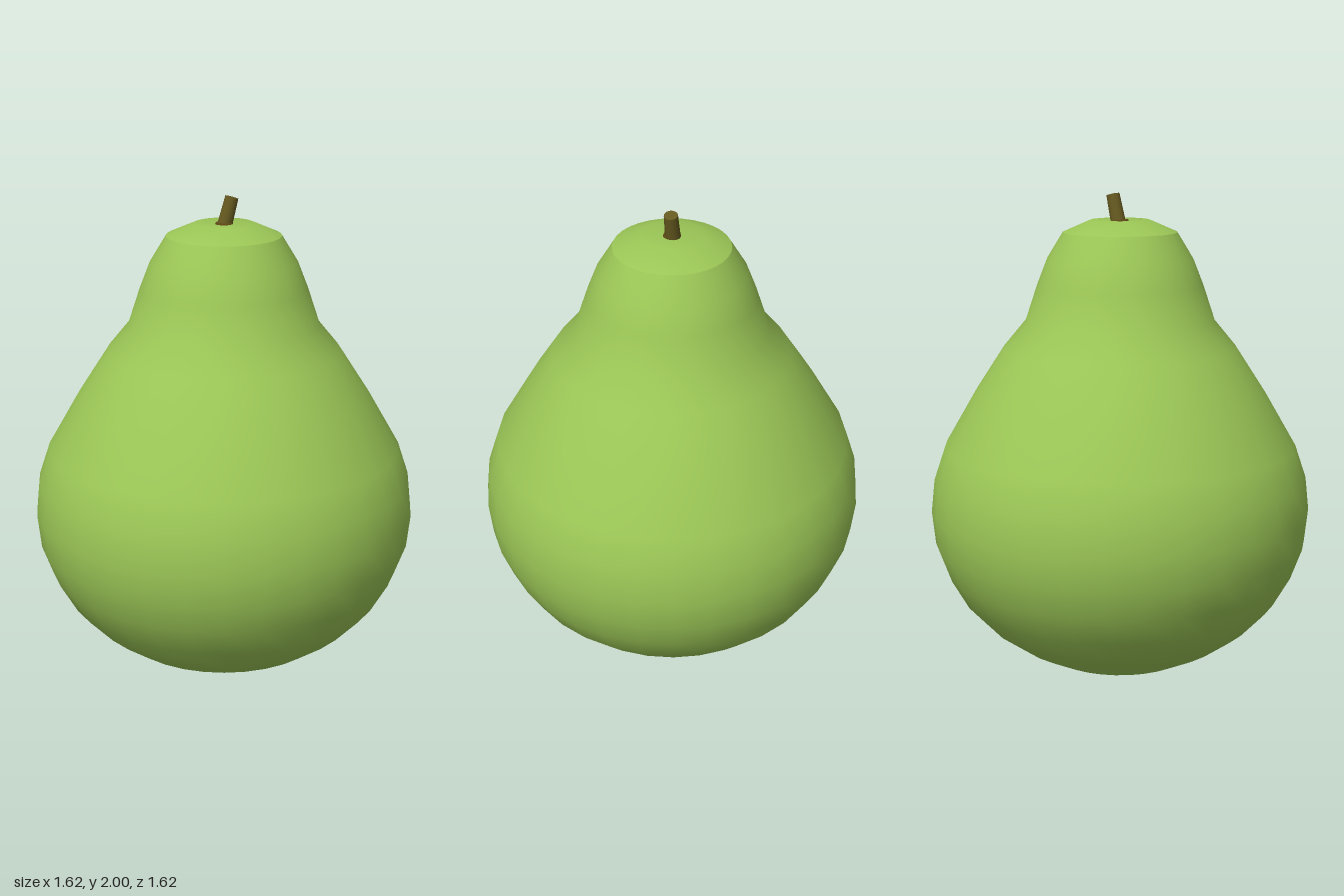
import * as THREE from 'three';

const SEGMENTS = 32;

function mat(color) {
  return new THREE.MeshStandardMaterial({ color });
}

// Surface of revolution; points run from the underside outward and up
function lathe(name, points, material) {
  const profile = points.map(([r, y]) => new THREE.Vector2(r, y));
  const mesh = new THREE.Mesh(new THREE.LatheGeometry(profile, SEGMENTS), material);
  mesh.name = name;
  return mesh;
}

export function createModel() {
  const group = new THREE.Group();
  group.name = 'pear';
  const skin = mat(0x9bc656);
  const bark = mat(0x665a20);
  const brown = mat(0x5c4515);

  // Round belly narrowing to the neck
  group.add(lathe('body', [
    [0.31, 0], [0.45, 0.07], [0.57, 0.155], [0.675, 0.265], [0.747, 0.39],
    [0.795, 0.52], [0.81, 0.66], [0.795, 0.8], [0.748, 0.94], [0.615, 1.17],
    [0.495, 1.355], [0.4, 1.47], [0.35, 1.62], [0.307, 1.73], [0.24, 1.84],
  ], skin));

  // Shallow crown with a crease where it meets the neck
  group.add(lathe('crown', [[0.24, 1.84], [0.125, 1.89], [0, 1.885]], skin));

  // Hollow underneath, closed by the dried blossom end
  group.add(lathe('baseHollow', [[0.155, 0.035], [0.31, 0]], skin));
  group.add(lathe('blossomEnd', [[0, 0.035], [0.155, 0.035]], brown));

  // Small collar around the stem
  group.add(lathe('stemCollar', [[0.037, 1.885], [0.034, 1.892], [0, 1.892]], brown));

  // Stem leaning to the left and back
  const base = new THREE.Vector3(-0.004, 1.86, -0.004);
  const tip = new THREE.Vector3(0.024, 1.994, -0.027);
  const axis = tip.clone().sub(base);
  const stem = new THREE.Mesh(new THREE.CylinderGeometry(0.028, 0.032, axis.length(), 12), bark);
  stem.name = 'stem';
  stem.position.copy(base).add(tip).multiplyScalar(0.5);
  stem.quaternion.setFromUnitVectors(new THREE.Vector3(0, 1, 0), axis.normalize());
  group.add(stem);

  return group;
}
